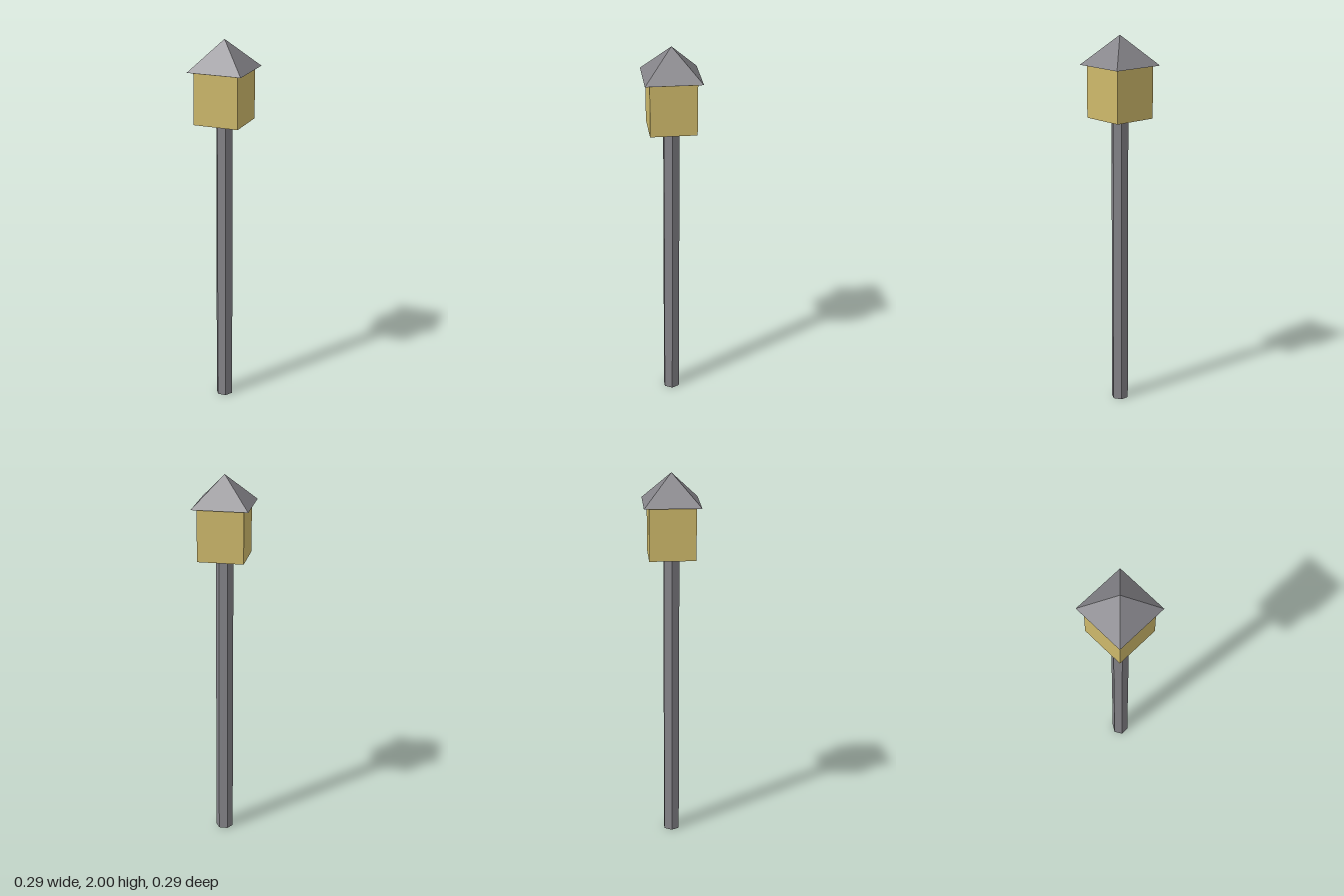
import * as THREE from 'three';

export function createModel() {
  const group = new THREE.Group();

  const material = (name, color) => {
    const m = new THREE.MeshStandardMaterial({ color, flatShading: true });
    m.name = name;
    return m;
  };
  const metal = material('grey metal', 0x848388);
  const glow = material('warm yellow', 0xceb96b);

  // Places a part so that its underside sits at the given height
  const add = (name, geometry, mat, bottom, height) => {
    const mesh = new THREE.Mesh(geometry, mat);
    mesh.name = name;
    mesh.position.y = bottom + height / 2;
    group.add(mesh);
  };

  // Hexagonal post with flat sides to the front and back
  const postHeight = 1.57;
  const post = new THREE.CylinderGeometry(0.046, 0.046, postHeight, 6).rotateY(Math.PI / 6);
  add('post', post, metal, 0, postHeight);

  // Square lamp box
  const boxHeight = 0.275;
  add('lampBox', new THREE.BoxGeometry(0.24, boxHeight, 0.24), glow, postHeight, boxHeight);

  // Overhanging pyramid roof
  const roofBottom = postHeight + boxHeight;
  const roofHeight = 2 - roofBottom;
  const roof = new THREE.ConeGeometry(0.1455 * Math.SQRT2, roofHeight, 4).rotateY(Math.PI / 4);
  add('roof', roof, metal, roofBottom, roofHeight);

  return group;
}
